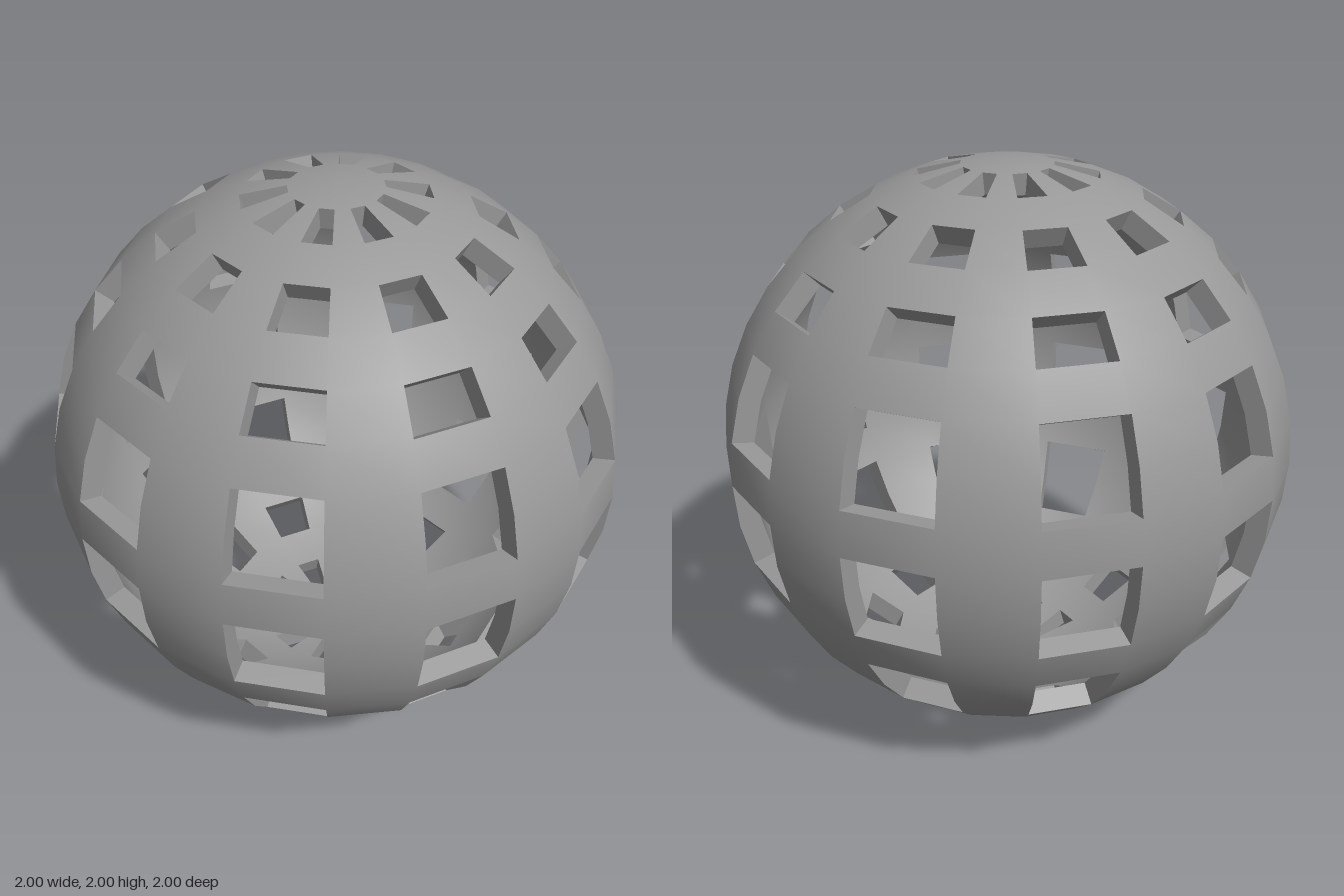
import * as THREE from 'three';

const COLS = 20;          // sides around the vertical axis
const ROWS = 20;          // bands from pole to pole
const OUTER = 1;
const INNER = 0.925;
const HOLE_ROWS = new Set([1, 3, 5, 7, 8, 10, 11, 13, 14, 16, 18, 19]);

const isHole = (row, col) => HOLE_ROWS.has(row) && (col + COLS) % 2 === 0;

// Grid point on a sphere of the given radius; row 0 is the top pole, col 0 faces +z.
function point(row, col, radius) {
  const a = (row / ROWS) * Math.PI;
  const b = ((col % COLS) / COLS) * Math.PI * 2;
  const ring = row === 0 || row === ROWS ? 0 : Math.sin(a);
  return new THREE.Vector3(ring * Math.sin(b), Math.cos(a), ring * Math.cos(b)).multiplyScalar(radius);
}

// Corners of a cell, counter-clockwise from outside.
const cell = (row, col, radius) => [
  point(row, col, radius), point(row + 1, col, radius),
  point(row + 1, col + 1, radius), point(row, col + 1, radius),
];

// Adds a quad as triangles, leaving out those that collapse at a pole.
function addQuad(list, [a, b, c, d]) {
  for (const tri of [[a, b, c], [a, c, d]]) {
    const [p, q, r] = tri;
    if (p.distanceTo(q) > 1e-6 && q.distanceTo(r) > 1e-6 && r.distanceTo(p) > 1e-6) list.push(...tri);
  }
}

// Smooth parts take radial normals (sign -1 for the inside); flat parts take face normals.
function makeMesh(name, points, material, sign = 0) {
  const geometry = new THREE.BufferGeometry().setFromPoints(points);
  if (sign) {
    const normals = points.flatMap((p) => p.clone().normalize().multiplyScalar(sign).toArray());
    geometry.setAttribute('normal', new THREE.Float32BufferAttribute(normals, 3));
  } else {
    geometry.computeVertexNormals();
  }
  const mesh = new THREE.Mesh(geometry, material);
  mesh.name = name;
  return mesh;
}

export function createModel() {
  const grey = new THREE.MeshStandardMaterial({ color: 0x999999 });
  grey.name = 'grey';

  const outside = [], inside = [], rims = [];
  for (let row = 0; row < ROWS; row++) {
    for (let col = 0; col < COLS; col++) {
      if (isHole(row, col)) continue;
      const o = cell(row, col, OUTER);
      const n = cell(row, col, INNER);
      addQuad(outside, o);
      addQuad(inside, [...n].reverse());

      // Walls through the shell wherever this cell borders an opening
      const neighbours = [[row, col - 1], [row + 1, col], [row, col + 1], [row - 1, col]];
      neighbours.forEach(([r, c], k) => {
        const m = (k + 1) % 4;
        if (isHole(r, c)) addQuad(rims, [o[m], o[k], n[k], n[m]]);
      });
    }
  }

  const group = new THREE.Group();
  group.name = 'perforatedSphere';
  group.add(
    makeMesh('outerShell', outside, grey, 1),
    makeMesh('innerShell', inside, grey, -1),
    makeMesh('openingWalls', rims, grey),
  );
  group.position.y = OUTER;
  return group;
}
